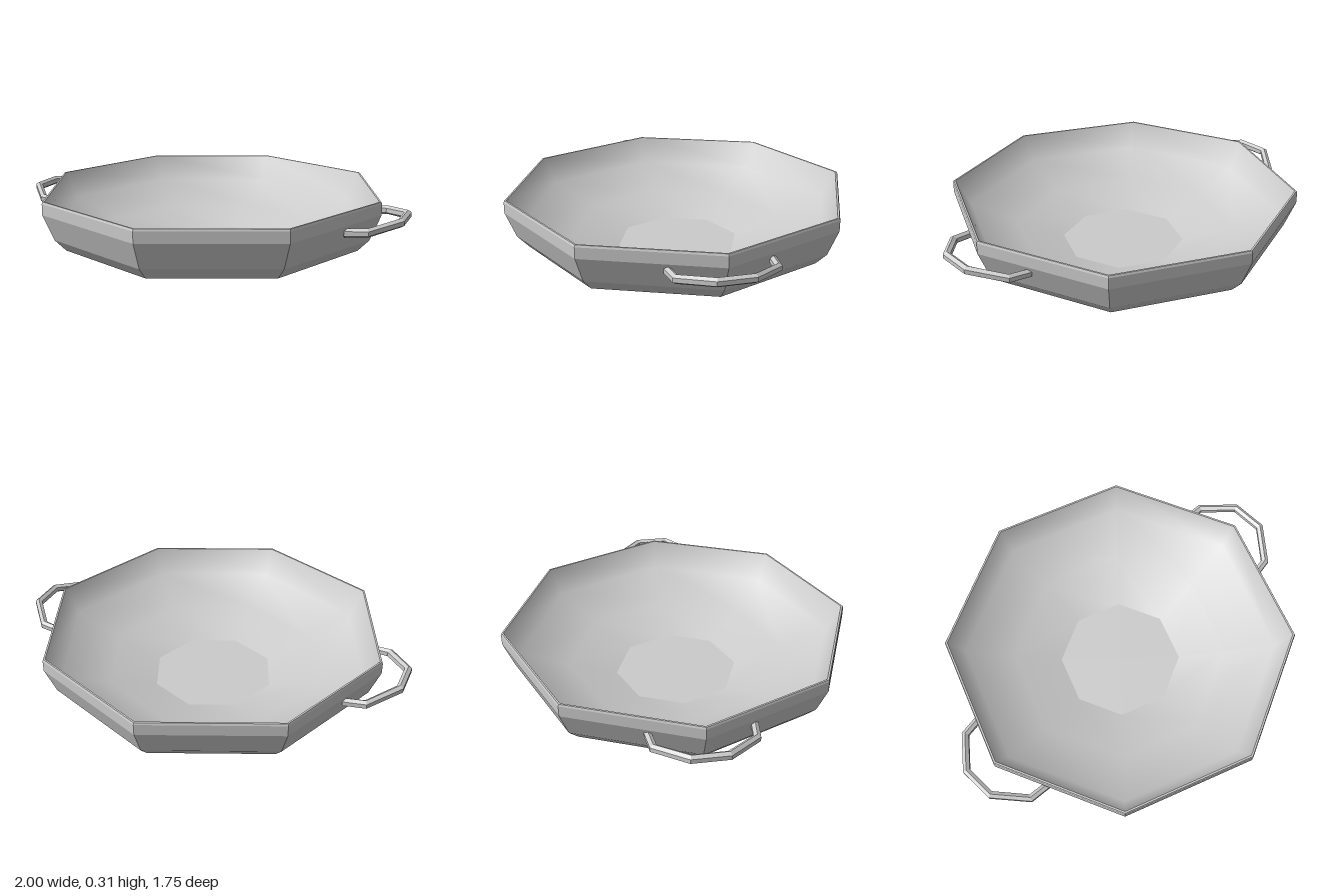
import * as THREE from 'three';

const SIDES = 8;

// Octagonal surface of revolution with corners on the x and z axes
function octagon(name, profile, material) {
  const points = profile.map(([r, y]) => new THREE.Vector2(r, y));
  const mesh = new THREE.Mesh(new THREE.LatheGeometry(points, SIDES), material);
  mesh.name = name;
  return mesh;
}

// Mitred bar with an elliptical section swept along a path, capped at both ends
function sweptBar(path, halfWidth, halfHeight, sides) {
  const positions = [];
  const index = [];
  const direction = (a, b) => new THREE.Vector3(b.x - a.x, 0, b.z - a.z).normalize();
  path.forEach((p, i) => {
    const before = direction(path[Math.max(i - 1, 0)], path[Math.max(i, 1)]);
    const after = direction(path[Math.min(i, path.length - 2)], path[Math.min(i + 1, path.length - 1)]);
    const tangent = before.clone().add(after).normalize();
    const width = halfWidth / tangent.dot(before);
    for (let j = 0; j < sides; j++) {
      const a = ((j + 0.5) / sides) * Math.PI * 2;
      const out = Math.cos(a) * width;
      positions.push(p.x - tangent.z * out, p.y + Math.sin(a) * halfHeight, p.z + tangent.x * out);
    }
  });
  for (let i = 0; i < path.length - 1; i++) {
    for (let j = 0; j < sides; j++) {
      const a = i * sides + j;
      const b = i * sides + ((j + 1) % sides);
      index.push(a, a + sides, b, b, a + sides, b + sides);
    }
  }
  const last = (path.length - 1) * sides;
  for (let j = 1; j < sides - 1; j++) {
    index.push(0, j, j + 1, last, last + j + 1, last + j);
  }
  const geometry = new THREE.BufferGeometry();
  geometry.setAttribute('position', new THREE.Float32BufferAttribute(positions, 3));
  geometry.setIndex(index);
  geometry.computeVertexNormals();
  return geometry;
}

export function createModel() {
  const model = new THREE.Group();
  model.name = 'pan';
  const flat = new THREE.MeshStandardMaterial({ color: 0xcccccc, flatShading: true });
  const smooth = new THREE.MeshStandardMaterial({ color: 0xcccccc });

  // Faceted outside with a narrow rim
  model.add(octagon('outerShell', [
    [0, 0], [0.41, 0], [0.765, 0.062], [0.82, 0.12], [0.873, 0.25], [0.873, 0.305], [0.869, 0.315], [0.86, 0.315],
  ], flat));

  // Smooth sloping inner wall and flat floor
  model.add(octagon('innerWall', [
    [0.86, 0.315], [0.79, 0.185], [0.55, 0.09], [0.31, 0.018],
  ], smooth));
  model.add(octagon('innerFloor', [[0.31, 0.018], [0, 0.018]], flat));

  // Two six-sided loop handles, rising slightly away from the pan
  const half = [[0.755, 0.214, 0.24], [0.86, 0.221, 0.228], [0.982, 0.246, 0.083]];
  const path = [
    ...half.map(([x, y, z]) => new THREE.Vector3(x, y, z)),
    ...half.slice().reverse().map(([x, y, z]) => new THREE.Vector3(x, y, -z)),
  ];
  const handleGeometry = sweptBar(path, 0.019, 0.022, 6);
  for (const [name, turn] of [['leftHandle', 0], ['rightHandle', Math.PI]]) {
    const handle = new THREE.Mesh(handleGeometry, flat);
    handle.name = name;
    handle.rotation.y = turn;
    model.add(handle);
  }
  return model;
}
